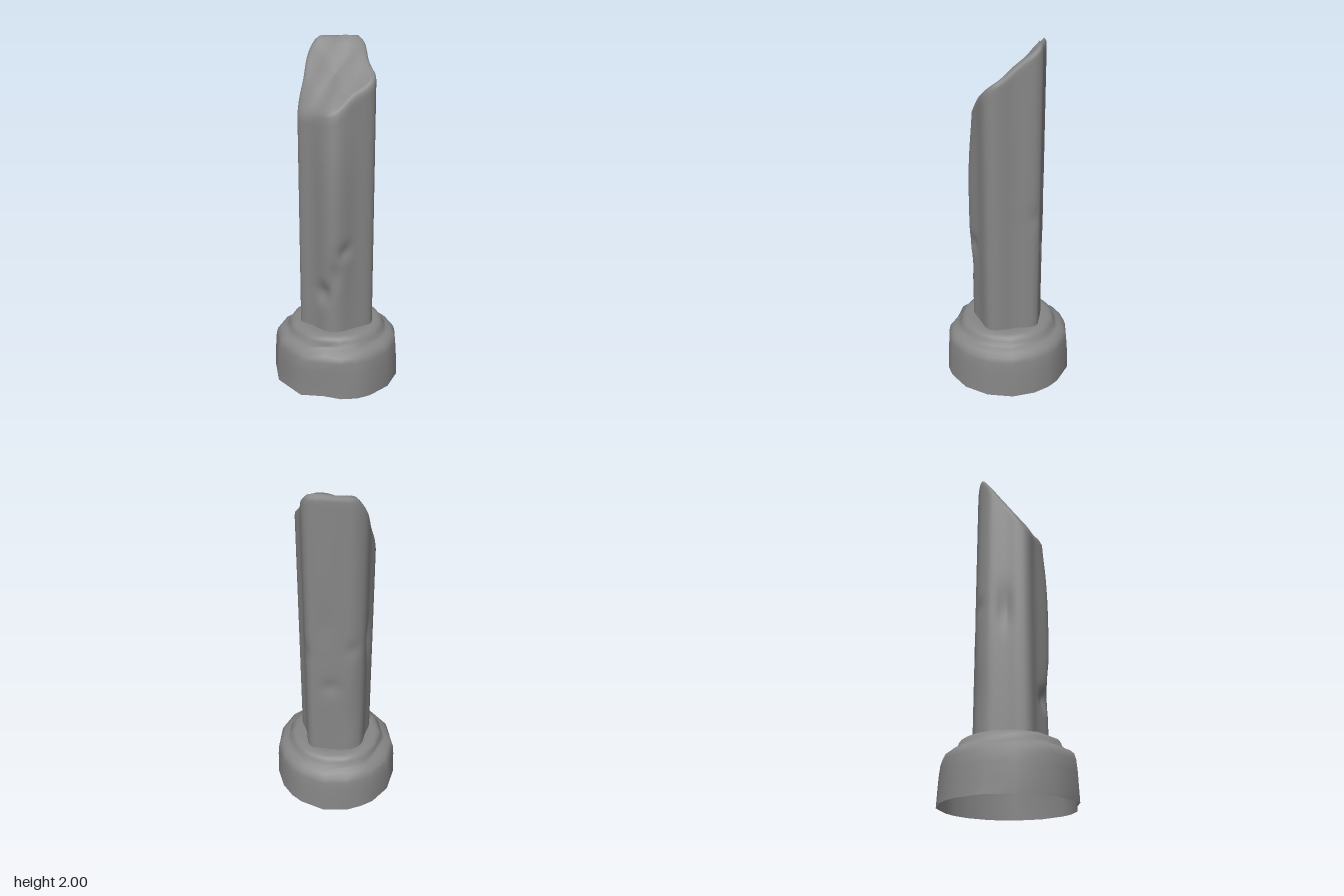
import * as THREE from 'three';

const material = new THREE.MeshStandardMaterial({ color: 0x868686, side: THREE.DoubleSide });

// Skin a stack of rings, listed from bottom to top
function loft(rings) {
  const n = rings[0].length, index = [];
  for (let j = 0; j < rings.length - 1; j++) {
    for (let i = 0; i < n; i++) {
      const a = j * n + i, b = j * n + (i + 1) % n;
      index.push(a, a + n, b, b, a + n, b + n);
    }
  }
  const geometry = new THREE.BufferGeometry().setFromPoints(rings.flat());
  geometry.setIndex(index);
  geometry.computeVertexNormals();
  return geometry;
}

// Press chips towards the axis; each is [x, y, z, width, height, depth]
function dent(p, chips) {
  let pull = 0;
  for (const [x, y, z, w, h, d] of chips) {
    const side = ((p.x - x) ** 2 + (p.z - z) ** 2) / (w * w);
    pull += d * Math.exp(-side - ((p.y - y) / h) ** 2);
  }
  const r = Math.hypot(p.x, p.z) || 1;
  p.x -= p.x / r * pull;
  p.z -= p.z / r * pull;
  return p;
}

// Slanted, slightly domed break at the top of the shaft
function breakHeight(x, z) {
  const y = 1.81 + 0.72 * x - 0.8 * z - 1.2 * x * x + 0.6 * z * z;
  const rough = 0.008 * Math.sin(31 * x + 17 * z) * Math.sin(23 * z - 12 * x);
  return Math.min(2, y + rough);
}

function createShaft() {
  // Rounded five-sided section, running from +x towards +z
  const corners = [
    [0.21, -0.085], [0.188, 0.02], [0.185, 0.12], [0.15, 0.17], [0.04, 0.188], [-0.07, 0.21],
    [-0.125, 0.18], [-0.17, 0.07], [-0.217, -0.01], [-0.2, -0.06], [-0.15, -0.12], [-0.09, -0.2],
    [-0.02, -0.222], [0.05, -0.2], [0.16, -0.145], [0.195, -0.125],
  ].map(([x, z]) => new THREE.Vector3(x, 0, z));
  const section = new THREE.CatmullRomCurve3(corners, true, 'centripetal').getPoints(80).slice(0, 80);
  const chips = [
    [-0.14, 0.58, 0.15, 0.05, 0.06, 0.03], [-0.09, 0.7, 0.2, 0.04, 0.08, 0.015],
    [-0.03, 0.84, 0.2, 0.04, 0.04, 0.02], [-0.09, 1.68, 0.2, 0.1, 0.28, 0.03],
    [-0.09, 0.45, 0.2, 0.1, 0.3, 0.016], [0.1, 0.83, -0.18, 0.05, 0.05, 0.014],
    [-0.15, 1.08, -0.13, 0.04, 0.12, 0.014], [-0.02, 1.1, -0.22, 0.04, 0.05, 0.01],
    [0.12, 1.25, -0.16, 0.04, 0.12, 0.008], [0.205, 1.05, -0.09, 0.04, 0.06, 0.008],
    [-0.02, 0.6, -0.22, 0.06, 0.2, 0.008],
  ];
  const rings = [];
  // Worn side wall
  const steps = 60;
  for (let j = 0; j <= steps; j++) {
    rings.push(section.map(({ x, z }) => {
      const y = THREE.MathUtils.lerp(0.335, breakHeight(x, z) - 0.035, j / steps);
      return dent(new THREE.Vector3(x, y, z), chips);
    }));
  }
  // Rounded rim and broken face
  const rim = rings[steps];
  for (const [s, drop] of [[0.985, 0.015], [0.94, 0.003], [0.85, 0], [0.68, 0], [0.5, 0], [0.32, 0], [0.15, 0], [0, 0]]) {
    rings.push(rim.map(({ x, z }) => new THREE.Vector3(x * s, breakHeight(x * s, z * s) - drop, z * s)));
  }
  return new THREE.Mesh(loft(rings), material);
}

function createBase() {
  // Irregular, coarse foot outline
  const foot = [
    [0.377, -0.05], [0.372, 0.085], [0.31, 0.22], [0.2, 0.325], [0.06, 0.375], [-0.02, 0.378],
    [-0.11, 0.35], [-0.19, 0.285], [-0.31, 0.22], [-0.38, 0.02], [-0.34, -0.17], [-0.24, -0.3],
    [-0.11, -0.368], [-0.03, -0.38], [0.06, -0.378], [0.2, -0.33], [0.31, -0.22], [0.35, -0.15],
  ];
  // Radius and height up the moulding
  const profile = [
    [0.379, 0], [0.376, 0.08], [0.373, 0.16], [0.368, 0.22], [0.36, 0.25], [0.34, 0.27], [0.312, 0.283],
    [0.298, 0.293], [0.289, 0.315], [0.276, 0.335], [0.255, 0.346], [0.22, 0.35], [0.17, 0.345],
  ];
  const chips = [
    [-0.19, 0.27, 0.26, 0.06, 0.03, 0.03], [-0.23, 0.28, -0.23, 0.06, 0.03, 0.03],
    [0.08, 0.28, -0.33, 0.05, 0.02, 0.015], [-0.36, 0.27, 0, 0.1, 0.06, 0.008],
  ];
  const rings = profile.map(([radius, y]) => foot.map(([x, z]) => {
    // Higher rings become rounder
    const round = Math.min(1, (y / 0.33) ** 2);
    const s = radius / THREE.MathUtils.lerp(0.379, Math.hypot(x, z), round);
    return dent(new THREE.Vector3(x * s, y, z * s), chips);
  }));
  return new THREE.Mesh(loft(rings), material);
}

export function createModel() {
  const model = new THREE.Group();
  model.name = 'brokenColumn';
  const shaft = createShaft();
  shaft.name = 'brokenShaft';
  const base = createBase();
  base.name = 'hollowBase';
  model.add(base, shaft);
  return model;
}
